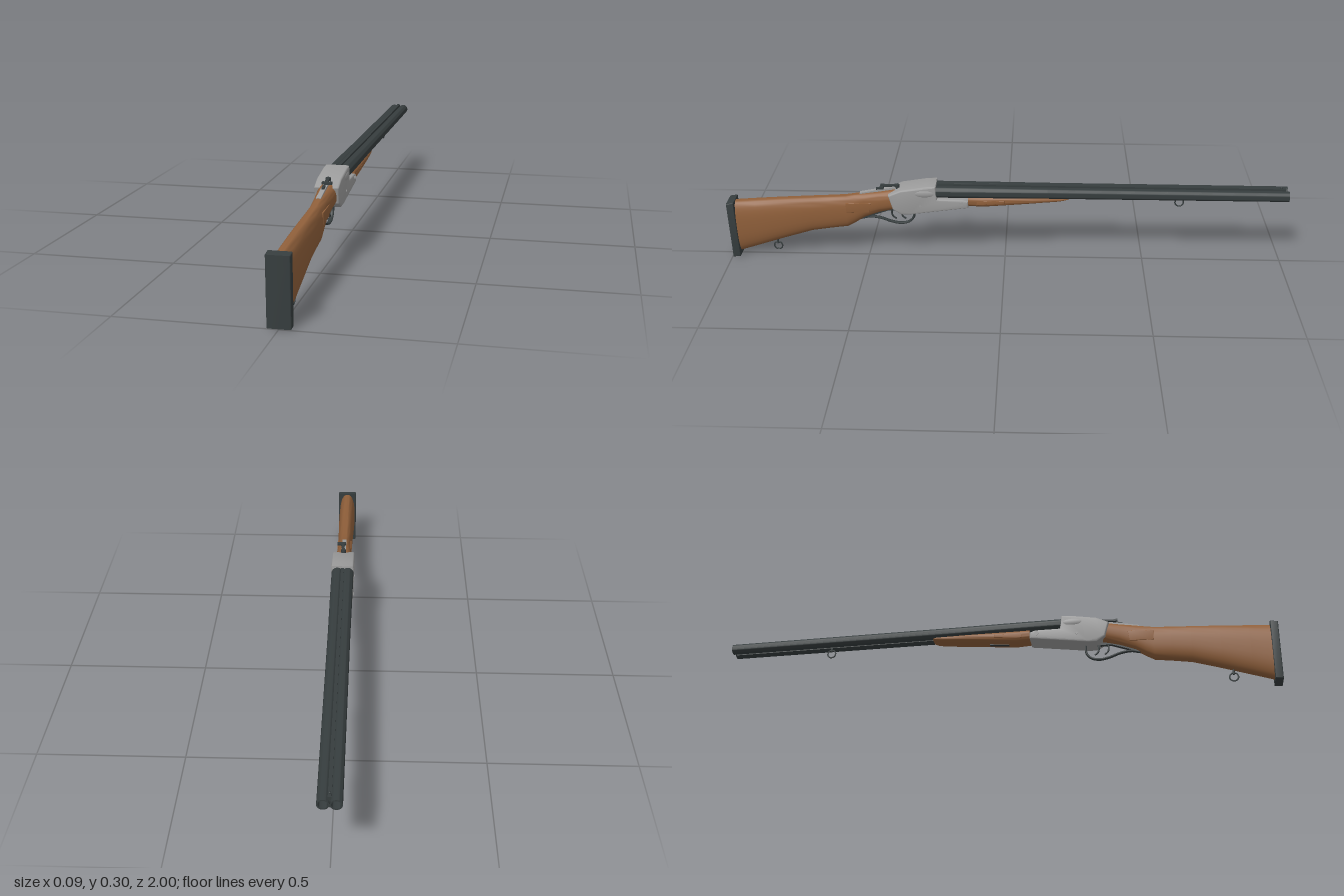
import * as THREE from 'three';
import { toCreasedNormals } from 'three/addons/utils/BufferGeometryUtils.js';

const mat = (name, color) => Object.assign(new THREE.MeshStandardMaterial({ color }), { name });

// Loft of egg-like rings along z. Row: [z, top, bottom, halfWidth]; rows run from +z to -z.
function loft(rows, power = 2.4, n = 32) {
  const pos = [], idx = [];
  const bend = v => Math.sign(v) * Math.abs(v) ** (2 / power);
  for (const [z, top, bottom, w] of rows)
    for (let i = 0; i < n; i++) {
      const a = (i / n) * Math.PI * 2;
      pos.push(w * bend(Math.cos(a)), (top + bottom) / 2 + (top - bottom) / 2 * bend(Math.sin(a)), z);
    }
  for (let r = 0; r < rows.length - 1; r++)
    for (let i = 0; i < n; i++) {
      const a = r * n + i, b = r * n + (i + 1) % n;
      idx.push(a, a + n, b, b, a + n, b + n);
    }
  const last = (rows.length - 1) * n;
  for (let i = 1; i < n - 1; i++) idx.push(0, i, i + 1, last, last + i + 1, last + i);
  const g = new THREE.BufferGeometry();
  g.setAttribute('position', new THREE.Float32BufferAttribute(pos, 3));
  g.setIndex(idx);
  return toCreasedNormals(g, 0.7);
}

// Side profile of [z, y] points, extruded symmetrically across x.
function slab(points, width, bevel = 0) {
  const g = new THREE.ExtrudeGeometry(new THREE.Shape(points.map(p => new THREE.Vector2(...p))), {
    depth: width - 2 * bevel, bevelEnabled: bevel > 0, bevelSize: bevel, bevelOffset: -bevel,
    bevelThickness: bevel, bevelSegments: 3,
  });
  g.translate(0, 0, bevel - width / 2);
  g.rotateY(-Math.PI / 2);
  return toCreasedNormals(g, 0.6);
}

// Round rod through [z, y] points in the centre plane.
const rod = (points, r) => new THREE.TubeGeometry(
  new THREE.CatmullRomCurve3(points.map(([z, y]) => new THREE.Vector3(0, y, z))), 40, r, 8);

export function createModel() {
  const group = new THREE.Group();
  const wood = mat('wood', 0x8f5f3a);
  const steel = mat('dark steel', 0x363d3e);
  const silver = mat('silver', 0x9c9c9c);
  const add = (name, geometry, material, x = 0, y = 0, z = 0) => {
    const m = new THREE.Mesh(geometry, material);
    m.name = name;
    m.position.set(x, y, z);
    group.add(m);
    return m;
  };
  const box = (name, w, h, d, material, x, y, z) =>
    add(name, new THREE.BoxGeometry(w, h, d), material, x, y, z);

  // Stock and butt pad
  add('stock', loft([
    [0.975, 0.218, 0.012, 0.032], [0.9, 0.224, 0.037, 0.032], [0.8, 0.231, 0.07, 0.031],
    [0.7, 0.237, 0.101, 0.029], [0.63, 0.241, 0.112, 0.028], [0.57, 0.245, 0.12, 0.027],
    [0.54, 0.25, 0.137, 0.026], [0.505, 0.256, 0.16, 0.026], [0.45, 0.264, 0.182, 0.029],
    [0.39, 0.274, 0.198, 0.034],
  ]), wood);
  add('buttPad', slab([[0.97, 0.003], [0.997, 0], [1, 0.217], [0.973, 0.222]], 0.073, 0.003), steel);

  // Receiver with its flat forward extension
  add('receiver', slab([
    [0.415, 0.262], [0.4, 0.208], [0.37, 0.188], [0.34, 0.188], [0.13, 0.218], [0.13, 0.243],
    [0.15, 0.25], [0.24, 0.25], [0.245, 0.3], [0.28, 0.298], [0.37, 0.283],
  ], 0.083, 0.006), silver);
  for (const s of [-1, 1]) {
    const side = s < 0 ? 'right' : 'left';
    // Raised fence and hinge pin on each side
    const fence = add(side + 'Fence', new THREE.SphereGeometry(1, 20, 14), silver, s * 0.036, 0.272, 0.285);
    fence.scale.set(0.0085, 0.016, 0.045);
    const pin = add(side + 'HingePin', new THREE.CylinderGeometry(0.008, 0.008, 0.006, 16), silver, s * 0.041, 0.236, 0.155);
    pin.rotation.z = Math.PI / 2;
    const screw = add(side + 'Screw', new THREE.CylinderGeometry(0.005, 0.005, 0.004, 12), silver, s * 0.0415, 0.225, 0.3);
    screw.rotation.z = Math.PI / 2;

    // Raised grip panels on the wrist and fore-end
    const grip = add(side + 'GripPanel', slab(
      [[0.57, 0.185], [0.57, 0.222], [0.48, 0.226], [0.485, 0.188]], 0.006, 0.001), wood, s * 0.0245);
    grip.rotation.y = 0;
    add(side + 'ForeEndPanel', slab(
      [[0.1, 0.228], [0.1, 0.242], [0, 0.247], [0, 0.236]], 0.005, 0.001), wood, s * 0.0335);

    // Hollow barrel, tapering from breech to muzzle
    const barrel = new THREE.LatheGeometry([
      [0, 0], [0.0215, 0], [0.0215, 0.12], [0.0198, 0.4], [0.0188, 1.25],
      [0.0145, 1.25], [0.0145, 1.1], [0, 1.1],
    ].map(p => new THREE.Vector2(...p)), 32);
    barrel.rotateX(-Math.PI / 2);
    add(side + 'Barrel', toCreasedNormals(barrel, 0.6), steel, s * 0.0192, 0.2725, 0.25);
  }

  // Ribs joining the barrels, and the front bead
  box('topRib', 0.011, 0.022, 1.235, steel, 0, 0.283, -0.3735);
  box('bottomRib', 0.011, 0.016, 1.235, steel, 0, 0.263, -0.3735);
  add('frontBead', new THREE.SphereGeometry(0.004, 12, 8), steel, 0, 0.296, -0.975);

  // Fore-end
  add('foreEnd', loft([
    [0.13, 0.262, 0.217, 0.036], [0.08, 0.262, 0.214, 0.036], [0, 0.262, 0.221, 0.035],
    [-0.1, 0.261, 0.231, 0.034], [-0.19, 0.26, 0.24, 0.031], [-0.215, 0.26, 0.245, 0.029],
    [-0.23, 0.26, 0.251, 0.025],
  ], 2.8), wood);
  add('foreEndLatch', slab([[0.05, 0.214], [-0.02, 0.22], [-0.02, 0.226], [0.05, 0.222]], 0.014), steel);

  // Tang, safety catch and top lever
  add('topTang', slab([[0.52, 0.25], [0.52, 0.256], [0.45, 0.27], [0.4, 0.28], [0.38, 0.28], [0.38, 0.25]], 0.016), silver);
  add('safetyCatch', new THREE.BoxGeometry(0.009, 0.008, 0.022), steel, 0, 0.272, 0.45).rotation.x = 0.18;
  const pivot = add('leverPivot', new THREE.CylinderGeometry(0.009, 0.009, 0.016, 20), steel, 0, 0.281, 0.385);
  pivot.rotation.x = 0.15;
  const lever = box('topLever', 0.011, 0.006, 0.06, steel, 0.003, 0.286, 0.412);
  lever.rotation.y = 0.12;
  box('leverThumbPiece', 0.032, 0.008, 0.014, steel, 0.009, 0.284, 0.438);

  // Trigger guard and two triggers
  add('triggerGuard', rod([
    [0.515, 0.153], [0.49, 0.159], [0.45, 0.154], [0.41, 0.14], [0.375, 0.134],
    [0.345, 0.142], [0.329, 0.162], [0.328, 0.192],
  ], 0.0042), steel).scale.x = 1.7;
  add('guardStrap', slab([[0.52, 0.15], [0.42, 0.187], [0.38, 0.187], [0.38, 0.195], [0.42, 0.2], [0.52, 0.158]], 0.014), steel);
  for (const [name, z] of [['rearTrigger', 0.405], ['frontTrigger', 0.37]])
    add(name, rod([[z, 0.2], [z + 0.004, 0.177], [z, 0.162], [z - 0.012, 0.152]], 0.0032), steel);

  // Sling rings on short studs
  for (const [name, y, z] of [['rearSling', 0.032, 0.835], ['frontSling', 0.234, -0.62]]) {
    const ring = add(name + 'Ring', new THREE.TorusGeometry(0.015, 0.0026, 8, 28), steel, 0, y, z);
    ring.rotation.y = Math.PI / 2;
    add(name + 'Stud', new THREE.CylinderGeometry(0.004, 0.004, 0.026, 10), steel, 0, y + 0.022, z);
  }
  return group;
}
